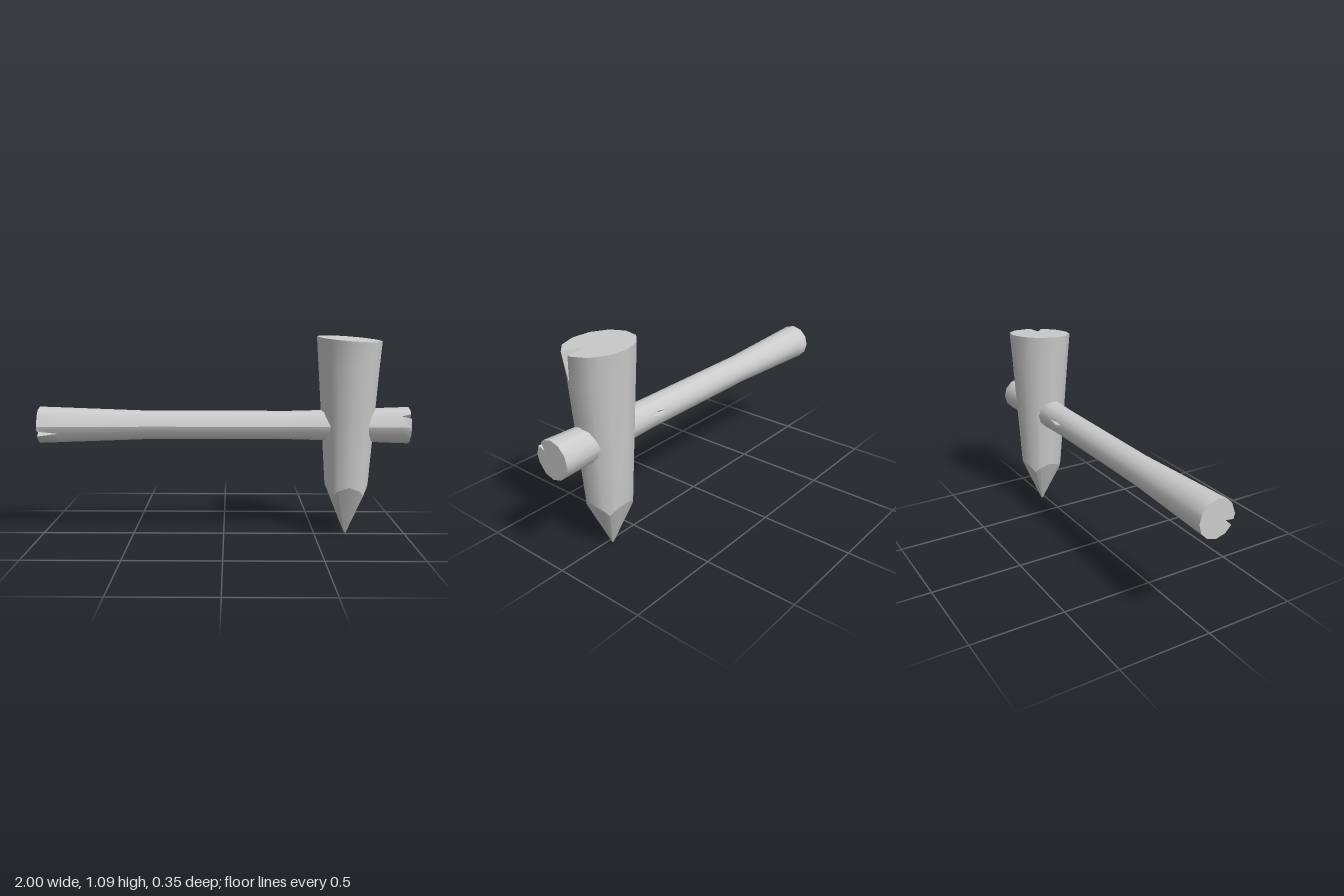
import * as THREE from 'three';
import { toCreasedNormals } from 'three/addons/utils/BufferGeometryUtils.js';

const SIDES = 12;
const STEP = (2 * Math.PI) / SIDES;
const wrap = a => ((a % (2 * Math.PI)) + 2 * Math.PI) % (2 * Math.PI);

// Radius factor of a regular polygon at angle a
function polygon(a) {
  return Math.cos(STEP / 2) / Math.cos((wrap(a) % STEP) - STEP / 2);
}

// Columns around the axis: polygon corners, extra angles, and three per split
function makeColumns(splits, extra = []) {
  const cols = [];
  for (let i = 0; i < SIDES; i++) cols.push({ a: i * STEP, side: 0 });
  extra.forEach(a => cols.push({ a, side: 0 }));
  const kept = cols.filter(c => splits.every(s => {
    const d = wrap(c.a - s.a + Math.PI) - Math.PI;
    return Math.abs(d) > s.half + 0.03;
  }));
  for (const split of splits) {
    for (const side of [-1, 0, 1]) kept.push({ a: wrap(split.a), side, split });
  }
  return kept.sort((p, q) => p.a - q.a || p.side - q.side);
}

// Skin the rings; a split opens to a V at its "at" station and closes at the next
function loft(rings, cols, place, capStart, capEnd) {
  const rows = rings.map(ring => cols.map(c => {
    const open = c.split && c.split.at === ring.t;
    const a = c.a + (open ? c.side * c.split.half : 0);
    const r = ring.r * polygon(a) - (open && c.side === 0 ? c.split.depth : 0);
    return place(ring, a, r);
  }));
  const pos = [];
  const tri = (p, q, s) => {
    const area = q.clone().sub(p).cross(s.clone().sub(p)).length();
    if (area > 1e-9) [p, q, s].forEach(v => pos.push(v.x, v.y, v.z));
  };
  const n = cols.length;
  for (let j = 0; j < n; j++) {
    const k = (j + 1) % n;
    for (let i = 0; i < rows.length - 1; i++) {
      tri(rows[i][j], rows[i][k], rows[i + 1][k]);
      tri(rows[i][j], rows[i + 1][k], rows[i + 1][j]);
    }
    const last = rows.length - 1;
    if (capStart) tri(place(rings[0], 0, 0), rows[0][k], rows[0][j]);
    if (capEnd) tri(place(rings[last], 0, 0), rows[last][j], rows[last][k]);
  }
  const geo = new THREE.BufferGeometry();
  geo.setAttribute('position', new THREE.Float32BufferAttribute(pos, 3));
  return toCreasedNormals(geo, 0.6);
}

export function createModel() {
  const group = new THREE.Group();
  const material = new THREE.MeshStandardMaterial({ color: 0xcccccc });
  const add = (name, geometry) => {
    const mesh = new THREE.Mesh(geometry, material);
    mesh.name = name;
    group.add(mesh);
  };

  // Handle: flared at both ends, split at each end and along the back
  const handleSplits = [
    { a: 1.99, half: 0.15, depth: 0.05, at: -1 },
    { a: 0.94, half: 0.15, depth: 0.04, at: 1 },
    { a: -1.3, half: 0.15, depth: 0.03, at: 0.36 },
  ];
  const handleRings = [
    [-1, 0.1], [-0.89, 0.096], [-0.4, 0.078], [0.3, 0.078], [0.36, 0.078],
    [0.42, 0.079], [0.95, 0.098], [1, 0.1],
  ].map(([t, r]) => ({ t, r }));
  add('handle', loft(handleRings, makeColumns(handleSplits),
    (ring, a, r) => new THREE.Vector3(ring.t, 0.607 + r * Math.cos(a), r * Math.sin(a)),
    true, true));

  // Head: tapered stake with a slanted top and a four-faced point
  const diagonals = [1, 3, 5, 7].map(i => (i * Math.PI) / 4);
  const headCols = makeColumns([{ a: 1.24, half: 0.19, depth: 0.1, at: 1.073 }], diagonals);
  const placeHead = (ring, a, r) => {
    const x = r * Math.sin(a);
    const z = r * Math.cos(a);
    let y = ring.t;
    if (ring.shoulder) y *= Math.max(Math.abs(Math.sin(a)), Math.abs(Math.cos(a))) ** 0.6;
    if (ring.slant) y -= 0.07 * (x + z);
    return new THREE.Vector3(0.675 + x, y, z - 0.02 * (1 - ring.t / 1.073));
  };
  const shoulder = { t: 0.28, r: 0.119, shoulder: true };
  add('headBody', loft(
    [shoulder, { t: 0.915, r: 0.164 }, { t: 1.073, r: 0.176, slant: true }],
    headCols, placeHead, false, true));
  add('headPoint', loft([{ t: 0, r: 0.005 }, shoulder], headCols, placeHead, true, false));

  return group;
}
